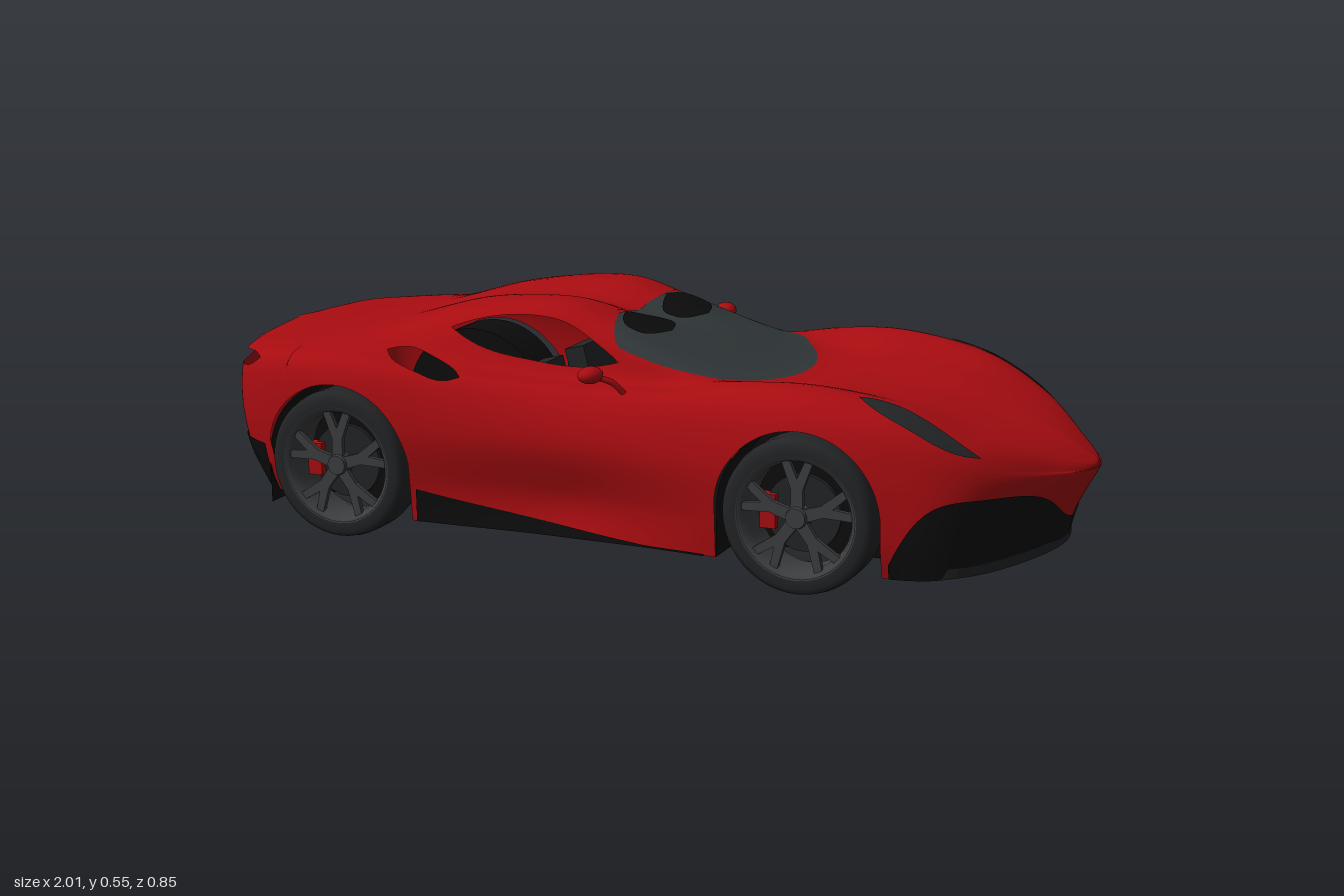
import * as THREE from 'three';

const RED = 0xa80c10, BLACK = 0x0c0c0d, DARK = 0x232426, GLASS = 0x303638, METAL = 0x3c3d3f;
const mat = (color) => new THREE.MeshStandardMaterial({ color, side: THREE.DoubleSide });

// Body lines running from tail to nose; kr / kf pull the low lines in at the ends.
const xs = [-1, -.97, -.9, -.66, -.42, -.2, -.06, .1, .3, .46, .65, .8, .92, 1];
const line = (kr, kf, y, z) => ({
  x: xs.map((x) => (x < -.85 ? -.85 + (x + .85) * kr : x > .65 ? .65 + (x - .65) * kf : x)), y, z,
});
const sill = line(.3, .8,
  [.11, .11, .09, .06, .06, .06, .06, .06, .06, .06, .06, .065, .07, .07],
  [0, .26, .36, .40, .40, .39, .39, .39, .40, .40, .40, .375, .24, 0]);
const lowerSide = line(.75, .86,
  [.19, .19, .18, .15, .14, .14, .14, .14, .14, .14, .14, .14, .14, .14],
  [0, .28, .385, .425, .40, .38, .375, .387, .41, .42, .415, .37, .20, 0]);
const waist = line(1, 1,
  [.29, .29, .29, .28, .27, .27, .27, .27, .27, .28, .27, .25, .24, .235],
  [0, .28, .388, .428, .42, .408, .404, .405, .416, .428, .41, .345, .18, 0]);
const shoulder = line(1, 1,
  [.38, .385, .39, .398, .39, .38, .38, .385, .388, .395, .368, .31, .265, .245],
  [0, .27, .37, .405, .39, .372, .365, .368, .385, .397, .38, .32, .17, 0]);
const crest = line(1, 1,
  [.405, .41, .415, .433, .42, .41, .405, .402, .432, .437, .405, .34, .285, .25],
  [0, .23, .31, .335, .312, .292, .285, .292, .318, .32, .305, .265, .14, 0]);
const roofEdge = line(1, 1,
  [.412, .417, .422, .453, .505, .53, .495, .445, .405, .41, .39, .345, .295, .252],
  [0, .16, .22, .24, .232, .222, .234, .25, .222, .20, .19, .17, .09, 0]);
const crown = line(1, 1,
  [.415, .42, .427, .46, .527, .546, .516, .46, .402, .40, .385, .345, .30, .254],
  [0, .08, .11, .125, .122, .12, .128, .135, .12, .11, .10, .09, .045, 0]);
const centre = line(1, 1,
  [.418, .422, .427, .46, .515, .517, .495, .462, .402, .395, .38, .345, .305, .256], xs.map(() => 0));
const lines = [sill, lowerSide, waist, shoulder, crest, roofEdge, crown, centre];
const LAST = xs.length - 1;

const spline = (a, b, c, d, f) =>
  b + .5 * f * (c - a + f * (2 * a - 5 * b + 4 * c - d + f * (3 * (b - c) + d - a)));

function linePoint(k, u) {
  const L = lines[k > 7 ? 6 : Math.max(k, 0)], m = k > 7 ? -1 : 1;
  const i = THREE.MathUtils.clamp(Math.floor(u), 0, LAST - 1), f = u - i;
  const at = (arr, n, s) => (n < 0 ? s * arr[1] : n > LAST ? s * arr[LAST - 1] : arr[n]);
  const get = (arr, s) => spline(at(arr, i - 1, s), arr[i], arr[i + 1], at(arr, i + 2, s), f);
  return [get(L.x, 1), get(L.y, 1), m * get(L.z, -1)];
}

// Body surface: u runs tail to nose, t runs from sill (0) over to the centre line (7).
function surface(u, t) {
  const i = THREE.MathUtils.clamp(Math.floor(t), 0, 6);
  const p = [-1, 0, 1, 2].map((d) => linePoint(i + d, u));
  return new THREE.Vector3(...[0, 1, 2].map((c) => spline(p[0][c], p[1][c], p[2][c], p[3][c], t - i)));
}
function normalAt(u, t) {
  const e = .01;
  const du = surface(u + e, t).sub(surface(u - e, t)), dt = surface(u, t + e).sub(surface(u, t - e));
  return du.cross(dt).normalize();
}
const xOf = (u) => linePoint(7, u)[0];
function bisect(lo, hi, below) {
  for (let i = 0; i < 30; i++) { const m = (lo + hi) / 2; if (below(m)) lo = m; else hi = m; }
  return (lo + hi) / 2;
}
const uOf = (x) => bisect(0, LAST, (u) => xOf(u) < x);
const range = (a, b, n) => Array.from({ length: n + 1 }, (_, i) => a + (b - a) * i / n);

// Edges of wheel arches, windows and openings as limits of t
const AXLES = [-.66, .455], HUB = .172, ARCH = .188;
function archEdge(u) {
  const x = xOf(u), cx = AXLES.find((c) => Math.abs(x - c) < ARCH);
  if (cx === undefined) return 0;
  const y = HUB + Math.sqrt(ARCH ** 2 - (x - cx) ** 2);
  return bisect(0, 3.5, (t) => surface(u, t).y < y);
}
const part = (u, x0, x1) => THREE.MathUtils.clamp((xOf(u) - x0) / (x1 - x0), 0, 1);
const WIN = [-.44, -.02], SHIELD = [-.09, .33], INTAKE = [-.57, -.36], TAIL = [-.99, -.88];
const bulge = (s) => 1 - Math.abs(2 * s - 1) ** 3;
const windowMid = (u) => 4.72 - .28 * part(u, ...WIN);
const windowLow = (u) => windowMid(u) - .4 * bulge(part(u, ...WIN));
const windowHigh = (u) => windowMid(u) + .3 * bulge(part(u, ...WIN));
const shieldEdge = (u) => {
  const s = part(u, ...SHIELD);
  return 7 - 2.25 * Math.sqrt(Math.min(1, s / .14) * Math.min(1, (1 - s) / .26));
};
// The tail opening and the side intake share one seam along the body.
function opening(u, dir) {
  if (xOf(u) < -.8) return 3.1 + dir * .3 * bulge(part(u, ...TAIL));
  const s = part(u, ...INTAKE);
  return 4.05 - .9 * s + dir * .45 * bulge(s);
}
const openingLow = (u) => opening(u, -1), openingHigh = (u) => opening(u, 1);

// Piece of the body surface between two edges, on one side of the car
function panel(name, color, us, low, high, rows, side, lift = 0) {
  const pos = [], nor = [], idx = [];
  us.forEach((u, i) => {
    const a = low(u), b = high(u);
    for (let j = 0; j <= rows; j++) {
      const t = a + (b - a) * j / rows, n = normalAt(u, t), p = surface(u, t).addScaledVector(n, lift);
      pos.push(p.x, p.y, p.z * side);
      nor.push(n.x, n.y, n.z * side);
      if (i && j) {
        const d = i * (rows + 1) + j, b0 = d - rows - 1;
        const q = [b0 - 1, d - 1, d, b0 - 1, d, b0];
        idx.push(...(side > 0 ? q : q.reverse()));
      }
    }
  });
  const g = new THREE.BufferGeometry();
  g.setAttribute('position', new THREE.Float32BufferAttribute(pos, 3));
  g.setAttribute('normal', new THREE.Float32BufferAttribute(nor, 3));
  g.setIndex(idx);
  return mesh(name, g, color);
}
function mesh(name, geometry, color, x = 0, y = 0, z = 0) {
  const m = new THREE.Mesh(geometry, mat(color));
  m.name = name;
  m.position.set(x, y, z);
  return m;
}
// Leaf-shaped inlay lying on the body
function inlay(name, color, x0, x1, t0, t1, half, side) {
  const mid = (u) => t0 + (t1 - t0) * part(u, x0, x1), h = (u) => half * bulge(part(u, x0, x1));
  return panel(name, color, range(uOf(x0), uOf(x1), 28), (u) => mid(u) - h(u), (u) => mid(u) + h(u), 8, side, .003);
}

function wheel() {
  const g = new THREE.Group();
  g.name = 'wheel';
  const spin = (pts) => new THREE.LatheGeometry(pts.map((p) => new THREE.Vector2(...p)), 48).rotateX(Math.PI / 2);
  g.add(mesh('tyre', spin([[.13, -.055], [.155, -.058], [.168, -.048], [.172, -.03], [.172, .03],
    [.168, .048], [.155, .058], [.132, .055]]), DARK));
  g.add(mesh('rim', spin([[.125, -.055], [.118, -.03], [.118, .03], [.126, .052], [.136, .056]]), METAL));
  g.add(mesh('brakeDisc', new THREE.CylinderGeometry(.085, .085, .012, 32).rotateX(Math.PI / 2), DARK));
  g.add(mesh('caliper', new THREE.BoxGeometry(.035, .075, .03), RED, -.075, 0, .008));
  g.add(mesh('hub', new THREE.CylinderGeometry(.022, .03, .025, 20).rotateX(Math.PI / 2), METAL, 0, 0, .043));
  // Each spoke forks towards the rim
  const s = new THREE.Shape([[-.014, .015], [.014, .015], [.013, .06], [.036, .123], [.018, .126], [0, .085],
    [-.018, .126], [-.036, .123], [-.013, .06]].map((p) => new THREE.Vector2(...p)));
  const spoke = new THREE.ExtrudeGeometry(s, { depth: .012, bevelEnabled: false });
  for (let i = 0; i < 5; i++) {
    const m = mesh('spoke', spoke, METAL, 0, 0, .036);
    m.rotation.z = i * Math.PI * 2 / 5;
    g.add(m);
  }
  return g;
}

export function createModel() {
  const car = new THREE.Group();
  car.name = 'sportsCar';
  const us = range(0, LAST, 150);
  for (const c of AXLES) for (const a of range(0, Math.PI, 28)) us.push(uOf(c + ARCH * 1.0001 * Math.cos(a)));
  for (const x of [...WIN, ...SHIELD, ...INTAKE, ...TAIL]) us.push(uOf(x), uOf(x - .003), uOf(x + .003));
  us.sort((a, b) => a - b);

  for (const side of [1, -1]) {
    // Painted shell with open windows and intakes, and the windscreen
    car.add(panel('bodySide', RED, us, archEdge, openingLow, 16, side));
    car.add(panel('shoulderPanel', RED, us, openingHigh, windowLow, 8, side));
    car.add(panel('roofAndHood', RED, us, windowHigh, shieldEdge, 12, side));
    const shieldUs = us.filter((u) => xOf(u) >= SHIELD[0] - .001 && xOf(u) <= SHIELD[1] + .001);
    car.add(panel('windscreen', GLASS, shieldUs, shieldEdge, () => 7, 10, side));
    car.add(inlay('windscreenTop', BLACK, -.07, .04, 6.1, 6.2, .7, side));

    // Headlamps and dark lower trim
    car.add(inlay('headlamp', DARK, .56, .82, 3.9, 3.2, .34, side));
    car.add(panel('frontGrille', BLACK, range(uOf(.66), LAST, 30), () => 0,
      (u) => .5 + 1.3 * bulge(part(u, .66, 1.02)), 10, side, .003));
    car.add(panel('rearBumperTrim', BLACK, range(0, uOf(-.86), 24), () => 0, () => 1.25, 8, side, .003));
    car.add(panel('sideSkirt', BLACK, range(uOf(-.46), uOf(.24), 30), () => 0,
      (u) => .1 + .85 * (1 - part(u, -.46, .1)), 6, side, .003));

    // Mirror on a short arm
    const shell = new THREE.SphereGeometry(1, 20, 14).scale(.026, .019, .031).rotateY(-side * .3);
    car.add(mesh('mirror', shell, RED, -.03, .434, side * .392));
    const arm = new THREE.CatmullRomCurve3([[.03, .39, .35], [.01, .415, .365], [-.025, .43, .385]]
      .map(([x, y, z]) => new THREE.Vector3(x, y, z * side)));
    car.add(mesh('mirrorArm', new THREE.TubeGeometry(arm, 8, .007, 8), RED));

    // Seats
    const seat = new THREE.BoxGeometry(.05, .26, .15).rotateZ(.25);
    car.add(mesh('seatBack', seat, DARK, -.25, .26, side * .13));
    car.add(mesh('seatCushion', new THREE.BoxGeometry(.2, .06, .15), DARK, -.13, .15, side * .13));

    // Wheels and wheel wells
    const drop = HUB - .06;
    for (const x of AXLES) {
      const w = wheel();
      w.position.set(x, HUB, side * .362);
      if (side < 0) w.rotation.y = Math.PI;
      car.add(w);
      const well = new THREE.CylinderGeometry(ARCH, ARCH, .13, 32, 1, true, Math.PI / 2, Math.PI).rotateX(Math.PI / 2);
      car.add(mesh('wheelWell', well, BLACK, x, HUB, side * .33));
      car.add(mesh('wellWall', new THREE.CircleGeometry(ARCH, 32, 0, Math.PI), BLACK, x, HUB, side * .266));
      car.add(mesh('lowerWellWall', new THREE.PlaneGeometry(ARCH * 2, drop), BLACK, x, HUB - drop / 2, side * .266));
      for (const e of [-ARCH, ARCH]) {
        const end = new THREE.PlaneGeometry(.13, drop).rotateY(Math.PI / 2);
        car.add(mesh('wellEnd', end, BLACK, x + e, HUB - drop / 2, side * .33));
      }
    }
  }

  // Floor, narrowed between the wheels
  const floorPts = us.map((u) => {
    const p = surface(u, 0);
    return [p.x, AXLES.some((c) => Math.abs(p.x - c) < ARCH) ? .266 : Math.max(p.z, 0), p.y];
  });
  const pos = floorPts.flatMap(([x, z, y]) => [x, y, z, x, y, -z]);
  const idx = floorPts.slice(1).flatMap((_, i) => [0, 1, 2, 1, 3, 2].map((k) => i * 2 + k));
  const floor = new THREE.BufferGeometry();
  floor.setAttribute('position', new THREE.Float32BufferAttribute(pos, 3));
  floor.setIndex(idx);
  floor.computeVertexNormals();
  car.add(mesh('floor', floor, BLACK));

  // Front splitter following the nose
  const nose = range(uOf(.68), LAST, 20).map((u) => surface(u, 0));
  const lip = [...nose.map((p) => new THREE.Vector2(p.x + .006, p.z)),
    ...nose.slice(0, -1).reverse().map((p) => new THREE.Vector2(p.x + .006, -p.z))];
  const splitter = new THREE.ExtrudeGeometry(new THREE.Shape(lip), { depth: .022, bevelEnabled: false });
  car.add(mesh('splitter', splitter.rotateX(Math.PI / 2), DARK, 0, .088, 0));

  car.add(mesh('dashboard', new THREE.BoxGeometry(.12, .14, .5), BLACK, .17, .31, 0));
  return car;
}
